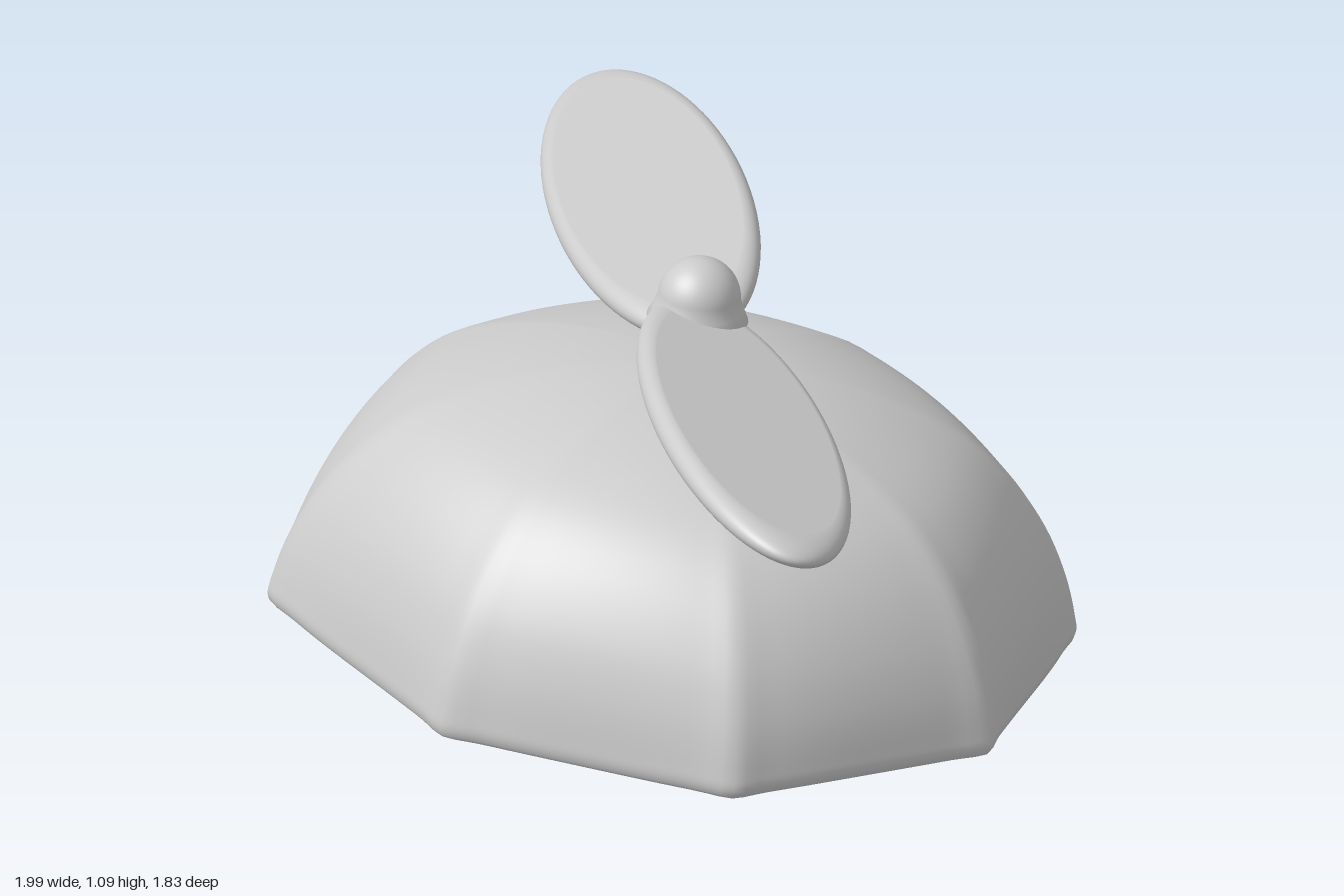
import * as THREE from 'three';

const material = new THREE.MeshStandardMaterial({ color: 0xcccccc, side: THREE.DoubleSide });
const SIDES = 8, SEGMENTS = 192, DEPTH = 0.9;

// Radius of a unit octagon with rounded corners, a faint raised seam on each corner
// and slightly fuller diagonals, except at the front left.
function panelRadius(theta) {
  const step = (2 * Math.PI) / SIDES;
  const fromCorner = theta - Math.round(theta / step) * step;
  const fromMiddle = step / 2 - Math.abs(fromCorner);
  const flat = Math.cos(step / 2) / Math.cos(fromMiddle);
  const gap = flat - 0.985;
  const soft = flat - (gap + Math.sqrt(gap * gap + 0.001)) / 2;
  const seam = 0.016 * Math.exp(-((fromCorner / 0.06) ** 2));
  const fullness = theta < Math.PI / 2 ? 0.006 : 0.03;
  return (soft + seam + 0.004) * (1 + fullness * Math.sin(2 * theta) ** 2);
}

// Surface swept round the cap from [radius, height, octagon amount] rings.
function capSurface(rings) {
  const positions = [], index = [];
  rings.forEach(([r, h, k]) => {
    const nearRim = Math.max(0, 1 - h / 0.3);
    for (let j = 0; j < SEGMENTS; j++) {
      const t = (j / SEGMENTS) * Math.PI * 2;
      const s = r * ((1 - k) * 0.99 + k * panelRadius(t));
      const z = s * Math.cos(t) * DEPTH;
      // the rim arches gently at the sides, which sit a little forward
      const arch = nearRim * (0.017 - 0.035 * z * z);
      const forward = 0.022 * r * Math.sin(t) ** 2;
      positions.push(s * Math.sin(t), h + arch, z + forward);
    }
  });
  for (let i = 0; i < rings.length - 1; i++) {
    for (let j = 0; j < SEGMENTS; j++) {
      const n = (j + 1) % SEGMENTS;
      const a = i * SEGMENTS + j, b = a + SEGMENTS;
      const d = i * SEGMENTS + n, c = d + SEGMENTS;
      index.push(a, b, c, a, c, d);
    }
  }
  const geometry = new THREE.BufferGeometry();
  geometry.setAttribute('position', new THREE.Float32BufferAttribute(positions, 3));
  geometry.setIndex(index);
  geometry.computeVertexNormals();
  return geometry;
}

// Smooth ring list through a few profile points.
function smoothRings(points, count) {
  const curve = new THREE.CatmullRomCurve3(points.map((p) => new THREE.Vector3(...p)));
  return curve.getPoints(count).map((p) => [Math.max(p.x, 0), p.y, p.z]);
}

function addMesh(parent, name, geometry) {
  const mesh = new THREE.Mesh(geometry, material);
  mesh.name = name;
  parent.add(mesh);
  return mesh;
}

export function createModel() {
  const model = new THREE.Group();
  model.name = 'propellerCap';

  // Everything sits on one axis that leans back, lifting the front rim
  const tilted = new THREE.Group();
  tilted.name = 'tiltedCap';
  tilted.position.set(0, 0.115, 0.03);
  tilted.rotation.x = -0.124;
  model.add(tilted);

  // Crown of eight panels, rounder towards the top
  addMesh(tilted, 'crown', capSurface(smoothRings([
    [0, 0.705, 0.35], [0.1, 0.702, 0.35], [0.3, 0.675, 0.35], [0.5, 0.62, 0.35], [0.68, 0.54, 0.4],
    [0.8, 0.445, 0.5], [0.9, 0.315, 0.65], [0.96, 0.185, 0.8], [0.99, 0.07, 0.95],
    [0.995, 0.025, 1], [0.985, 0.005, 1], [0.97, 0, 1],
  ], 56)));

  // Underside lip from the octagonal edge to the oval opening
  addMesh(tilted, 'rim', capSurface([[0.97, 0, 1], [0.865, -0.002, 0.5], [0.765, -0.005, 0]]));

  // Hollow inside, widening above the lip
  addMesh(tilted, 'lining', capSurface(smoothRings([
    [0.765, -0.005, 0], [0.8, 0.02, 0.3], [0.88, 0.05, 0.8], [0.9, 0.1, 0.9], [0.87, 0.21, 0.8],
    [0.8, 0.33, 0.6], [0.7, 0.44, 0.5], [0.58, 0.52, 0.4], [0.4, 0.59, 0.35], [0.2, 0.63, 0.35],
    [0, 0.645, 0.35],
  ], 48)));

  // Post with a rounded cap
  const hub = new THREE.Group();
  hub.name = 'hub';
  hub.position.z = 0.012;
  tilted.add(hub);
  const post = [[0.12, 0.66], [0.108, 0.71], [0.103, 0.75], [0.11, 0.785], [0.122, 0.82], [0.108, 0.852]]
    .map(([r, y]) => new THREE.Vector2(r, y));
  for (let i = 0; i <= 12; i++) {
    const a = (i / 12) * Math.PI / 2;
    post.push(new THREE.Vector2(0.1 * Math.cos(a), 0.875 + 0.1 * Math.sin(a)));
  }
  addMesh(hub, 'post', new THREE.LatheGeometry(post, 48));

  // Two pitched oval blades with rounded edges
  const section = [];
  for (let i = 0; i <= 32; i++) {
    const a = -Math.PI / 2 + (i / 32) * Math.PI;
    const r = i === 0 || i === 32 ? 0 : 0.85 + 0.15 * Math.cos(a);
    section.push(new THREE.Vector2(r, 0.036 * Math.sin(a)));
  }
  const bladeGeometry = new THREE.LatheGeometry(section, 80);
  bladeGeometry.scale(0.68, 1, 0.238);
  const propeller = new THREE.Group();
  propeller.name = 'propeller';
  propeller.position.y = 0.815;
  propeller.rotation.y = -THREE.MathUtils.degToRad(40.3);
  hub.add(propeller);
  ['frontBlade', 'backBlade'].forEach((name, i) => {
    const arm = new THREE.Group();
    arm.name = name + 'Arm';
    arm.rotation.y = i * Math.PI;
    propeller.add(arm);
    const blade = addMesh(arm, name, bladeGeometry);
    blade.position.x = 0.6;
    blade.rotation.x = -0.25;
  });

  return model;
}
